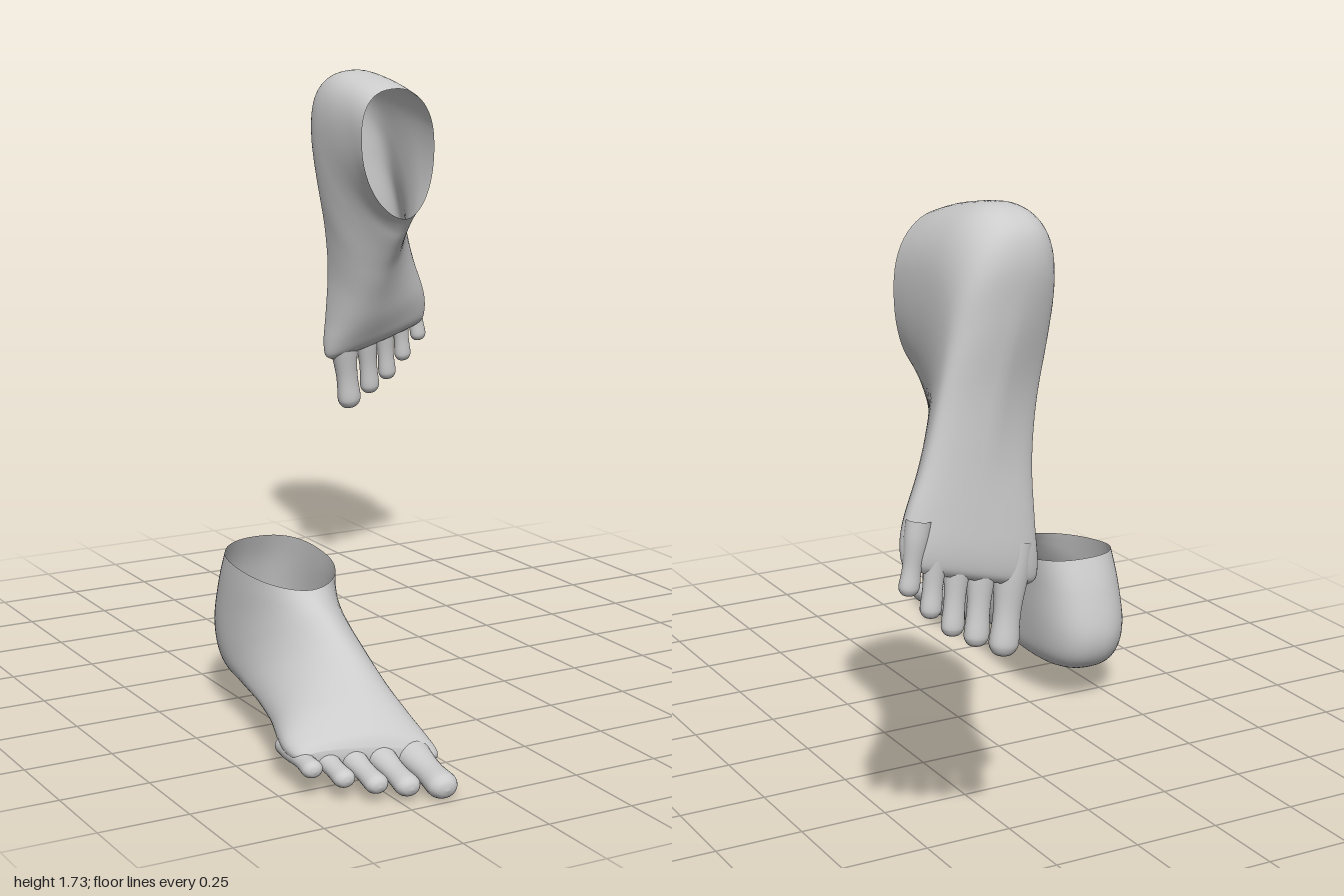
import * as THREE from 'three';

const skin = new THREE.MeshStandardMaterial({ color: 0xcccccc, roughness: 0.8, side: THREE.DoubleSide });

// Sections from the ankle rim, fanning round the heel, to the toe webs:
// [top z, top y, bottom z, bottom y, outer x, inner x, top ridge x, bottom x, widest point 0..1]
const SECTIONS = [
  [0.36, 0.41, -0.06, 0.46, -0.57, -0.285, -0.447, -0.41, 0.42],
  [0.375, 0.395, -0.1, 0.36, -0.575, -0.287, -0.447, -0.415, 0.42],
  [0.4, 0.375, -0.13, 0.225, -0.58, -0.285, -0.445, -0.42, 0.41],
  [0.43, 0.355, -0.1, 0.135, -0.585, -0.285, -0.44, -0.42, 0.39],
  [0.47, 0.325, -0.02, 0.094, -0.59, -0.287, -0.435, -0.43, 0.37],
  [0.52, 0.29, 0.12, 0.085, -0.6, -0.295, -0.43, -0.44, 0.34],
  [0.57, 0.26, 0.3, 0.082, -0.62, -0.31, -0.43, -0.46, 0.31],
  [0.62, 0.23, 0.47, 0.064, -0.648, -0.32, -0.435, -0.48, 0.32],
  [0.68, 0.195, 0.61, 0.044, -0.682, -0.315, -0.445, -0.49, 0.34],
  [0.73, 0.16, 0.7, 0.032, -0.698, -0.306, -0.46, -0.5, 0.38],
  [0.768, 0.13, 0.758, 0.032, -0.695, -0.308, -0.48, -0.5, 0.42],
  [0.785, 0.1, 0.782, 0.045, -0.68, -0.33, -0.5, -0.505, 0.5],
];

// Toes, big to little: root, tip centre line end, radius
const TOES = [
  { root: [-0.372, 0.072, 0.7], tip: [-0.394, 0.032, 0.998], r: 0.041 },
  { root: [-0.463, 0.08, 0.69], tip: [-0.478, 0.038, 0.962], r: 0.034 },
  { root: [-0.537, 0.082, 0.67], tip: [-0.55, 0.046, 0.927], r: 0.031 },
  { root: [-0.604, 0.084, 0.65], tip: [-0.616, 0.056, 0.874], r: 0.029 },
  { root: [-0.66, 0.088, 0.62], tip: [-0.678, 0.074, 0.814], r: 0.028 },
];

function catmull(a, b, c, d, t) {
  return 0.5 * (2 * b + (c - a) * t + (2 * a - 5 * b + 4 * c - d) * t * t + (3 * b - a - 3 * c + d) * t * t * t);
}

function sectionAt(u) {
  const n = SECTIONS.length - 1;
  const i = Math.min(Math.floor(u), n - 1);
  const row = (k) => SECTIONS[Math.max(0, Math.min(n, k))];
  return SECTIONS[i].map((_, c) => catmull(row(i - 1)[c], row(i)[c], row(i + 1)[c], row(i + 2)[c], u - i));
}

// Heel, instep and sole as one lofted skin, open at the ankle
function bodyGeometry(side) {
  const AROUND = 56, RINGS = (SECTIONS.length - 1) * 6;
  const pos = [], index = [];
  const pow = (v, e) => Math.sign(v) * Math.pow(Math.abs(v), e);
  const tri = (a, b, c) => (side > 0 ? index.push(a, b, c) : index.push(a, c, b));
  for (let i = 0; i <= RINGS; i++) {
    const u = (i / RINGS) * (SECTIONS.length - 1);
    const [tz, ty, bz, by, xo, xi, ridge, base, wide] = sectionAt(u);
    const mid = (xo + xi) / 2, half = (xi - xo) / 2;
    const fore = THREE.MathUtils.smoothstep(u, 5.5, 9); // slant of the forefoot
    const arch = 0.04 * Math.exp(-(((u - 6) / 1.3) ** 2));
    for (let j = 0; j < AROUND; j++) {
      const t = (j / AROUND) * Math.PI * 2;
      const top = Math.sin(t) >= 0;
      const c = pow(Math.cos(t), top ? 1.1 : 0.85);
      const s = pow(Math.sin(t), top ? 1 : 0.85);
      const f = top ? wide + (1 - wide) * s : wide * (1 + s);
      const x = mid + half * c + ((top ? ridge : base) - mid) * s * s;
      const lift = top ? 0 : arch * -s * Math.max(0, c);
      pos.push(side * x,
        by + (ty - by) * f + lift + fore * 0.1 * (mid - x),
        bz + (tz - bz) * f + fore * 0.2 * (x - mid));
    }
  }
  for (let i = 0; i < RINGS; i++) {
    for (let j = 0; j < AROUND; j++) {
      const k = (j + 1) % AROUND, a = i * AROUND, b = a + AROUND;
      tri(a + j, a + k, b + j);
      tri(a + k, b + k, b + j);
    }
  }
  // Close the front between the toes
  const last = RINGS * AROUND, centre = pos.length / 3;
  pos.push(side * -0.505, 0.074, 0.79);
  for (let j = 0; j < AROUND; j++) tri(last + j, last + ((j + 1) % AROUND), centre);
  const g = new THREE.BufferGeometry();
  g.setAttribute('position', new THREE.Float32BufferAttribute(pos, 3));
  g.setIndex(index);
  g.computeVertexNormals();
  return g;
}

// A toe: turned profile with a narrow neck and a rounded pad
function toeMesh({ root, tip, r }, side) {
  const a = new THREE.Vector3(side * root[0], root[1], root[2]);
  const b = new THREE.Vector3(side * tip[0], tip[1], tip[2]);
  const len = a.distanceTo(b);
  const pad = len - r; // start of the rounded end
  const outline = [[1.25, 0], [1.22, pad * 0.3], [0.98, pad * 0.62], [0.94, pad * 0.8], [1.02, pad],
    [0.9, pad + r * 0.5], [0.58, pad + r * 0.85], [0, len]];
  const curve = new THREE.SplineCurve(outline.map(([w, y]) => new THREE.Vector2(w * r, y)));
  const points = curve.getPoints(28);
  points.forEach((p) => { p.x = Math.max(0, p.x); });
  const g = new THREE.LatheGeometry(points, 24);
  g.scale(1, 1, 0.82);
  const mesh = new THREE.Mesh(g, skin);
  mesh.position.copy(a);
  mesh.quaternion.setFromUnitVectors(new THREE.Vector3(0, 1, 0), b.sub(a).normalize());
  return mesh;
}

function makeFoot(name, side) {
  const foot = new THREE.Group();
  foot.name = name;
  const body = new THREE.Mesh(bodyGeometry(side), skin);
  body.name = 'heelAndInstep';
  foot.add(body);
  ['bigToe', 'secondToe', 'thirdToe', 'fourthToe', 'littleToe'].forEach((toeName, i) => {
    const toe = toeMesh(TOES[i], side);
    toe.name = toeName;
    foot.add(toe);
  });
  return foot;
}

// Move a foot so its bounds are centred on a point
function centreOn(foot, x, y, z) {
  foot.updateMatrixWorld(true);
  const c = new THREE.Box3().setFromObject(foot, true).getCenter(new THREE.Vector3());
  foot.position.add(new THREE.Vector3(x, y, z).sub(c));
}

export function createModel() {
  const model = new THREE.Group();
  model.name = 'pairOfFeet';

  // Right foot, flat on the ground
  const right = makeFoot('rightFoot', 1);
  centreOn(right, -0.4925, 0.23, 0.435);

  // Left foot, raised behind with its toes pointing down
  const left = makeFoot('leftFoot', -1);
  left.rotation.set(Math.PI / 2 - 0.085, 0.11, 0.075, 'ZYX');
  centreOn(left, 0.455, 1.165, -0.805);

  model.add(right, left);
  return model;
}
